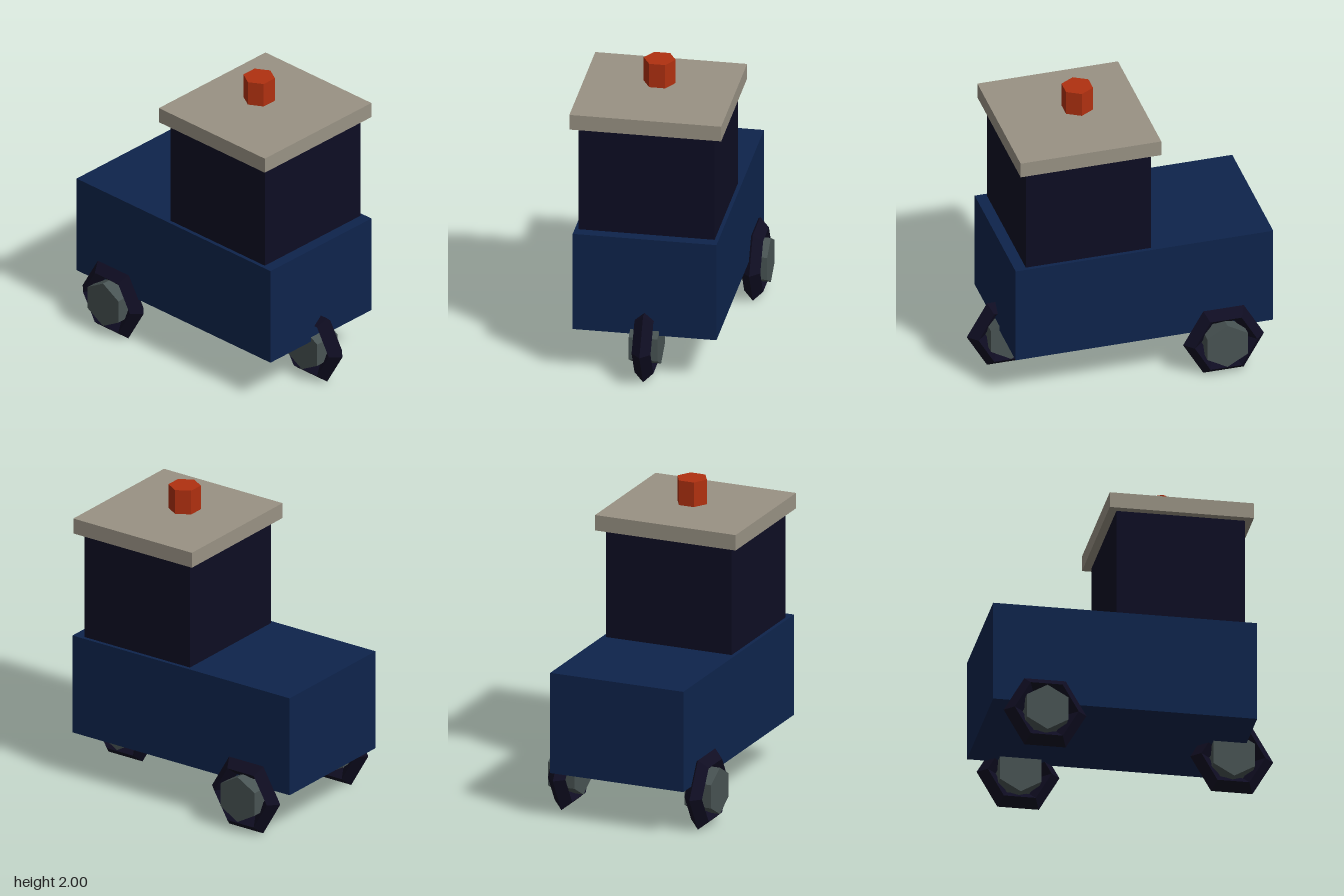
import * as THREE from 'three';

const paint = (name, color) => {
  const m = new THREE.MeshStandardMaterial({ color, flatShading: true });
  m.name = name;
  return m;
};

export function createModel() {
  const blue = paint('navy body', 0x0e244c);
  const dark = paint('dark cabin', 0x0d0d23);
  const black = paint('tyre black', 0x0f0d22);
  const beige = paint('roof beige', 0x999284);
  const red = paint('beacon red', 0xb03010);
  const grey = paint('hub grey', 0x485353);

  const model = new THREE.Group();
  model.name = 'tractor';

  const add = (name, geometry, material, parent = model) => {
    const mesh = new THREE.Mesh(geometry, material);
    mesh.name = name;
    parent.add(mesh);
    return mesh;
  };

  // Box centred on x, given by its half width and its y and z ranges
  const block = (name, material, halfX, y0, y1, z0, z1) =>
    add(name, new THREE.BoxGeometry(2 * halfX, y1 - y0, z1 - z0), material)
      .position.set(0, (y0 + y1) / 2, (z0 + z1) / 2);

  block('body', blue, 0.463, 0.313, 0.983, -0.945, 0.756);
  block('cabin', dark, 0.438, 0.983, 1.704, -0.146, 0.682);
  block('roof', beige, 0.489, 1.704, 1.807, -0.198, 0.731);

  // Six-sided beacon hovering just above the roof
  add('beacon', new THREE.CylinderGeometry(0.103, 0.103, 0.164, 6, 1, false, Math.PI / 6), red)
    .position.set(0, 1.918, 0.214);

  // Six-sided wheels: diamond-section tyre around a hub
  const tyreGeometry = new THREE.TorusGeometry(0.206, 0.061, 4, 6).rotateY(Math.PI / 2);
  const hubGeometry = new THREE.CylinderGeometry(0.155, 0.155, 0.185, 6, 1, false, Math.PI / 6)
    .rotateZ(Math.PI / 2);
  const wheels = [
    ['frontWheel', 0, 0.677],
    ['rearLeftWheel', 0.475, -0.613],
    ['rearRightWheel', -0.475, -0.613],
  ];
  for (const [name, x, z] of wheels) {
    const wheel = new THREE.Group();
    wheel.name = name;
    wheel.position.set(x, 0.235, z);
    add('tyre', tyreGeometry, black, wheel);
    add('hub', hubGeometry, grey, wheel);
    model.add(wheel);
  }

  return model;
}
